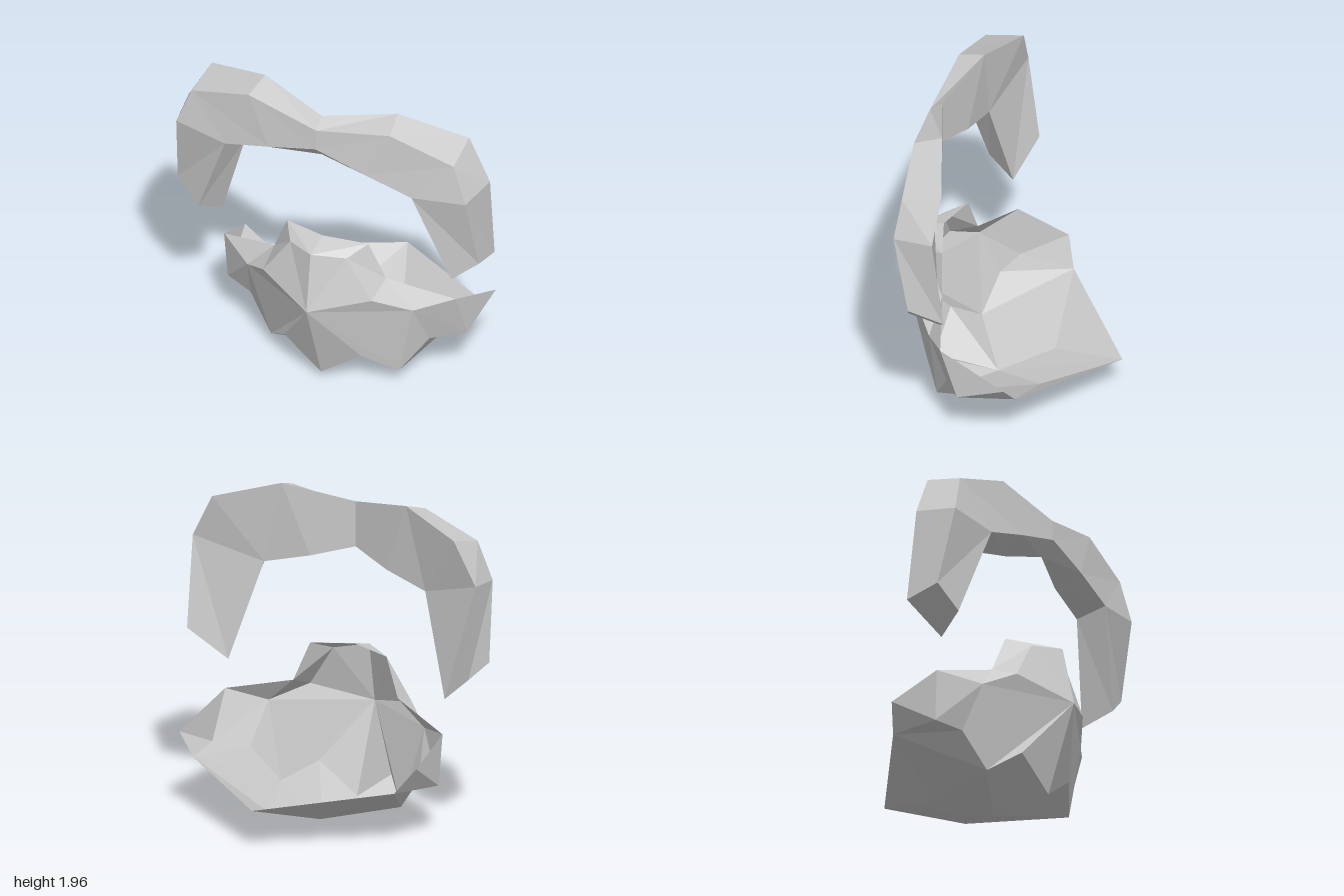
import * as THREE from 'three';

const material = new THREE.MeshStandardMaterial({ color: 0xcccccc, flatShading: true, side: THREE.DoubleSide });

// Faceted mesh from a list of triangles, each made of three [x, y, z] corners
function facetMesh(name, triangles) {
  const geometry = new THREE.BufferGeometry();
  geometry.setAttribute('position', new THREE.Float32BufferAttribute(triangles.flat(2), 3));
  geometry.computeVertexNormals();
  const mesh = new THREE.Mesh(geometry, material);
  mesh.name = name;
  return mesh;
}

const mirrorX = ([x, y, z]) => [-x, y, z];
const flip = ([a, b, c]) => [a, c, b];

// Curved band: sections of outer front, outer back, inner back, inner front
function createBand() {
  const innerCorner = [[0.57, 1.445, 0.33], [0.62, 1.51, 0.5]];
  const sections = [
    [[0, 1.82, 0.525], [0, 1.88, 0.45], [0, 1.6, 0.45], [0, 1.69, 0.535]],
    [[0.47, 1.905, 0.485], [0.44, 1.955, 0.32], [0.27, 1.52, 0.37], [0.32, 1.6, 0.525]],
    [[0.87, 1.78, 0.44], [0.855, 1.835, 0.2], ...innerCorner],
    [[0.96, 1.545, 0.465], [1, 1.57, 0.215], ...innerCorner],
    [[1, 1.065, 0.365], [0.995, 1.01, 0.145], [0.765, 0.83, 0.24], [0.84, 0.93, 0.41]],
  ];
  const half = [];
  for (let i = 0; i < sections.length - 1; i++) {
    for (let j = 0; j < 4; j++) {
      const k = (j + 1) % 4;
      const [a, b, c, d] = [sections[i][j], sections[i + 1][j], sections[i + 1][k], sections[i][k]];
      if (a !== b) half.push([a, b, c]);
      if (c !== d) half.push([a, c, d]);
    }
  }
  // Closed end of the arm
  const [of, ob, ib, inf] = sections[sections.length - 1];
  half.push([of, ib, ob], [of, inf, ib]);
  return facetMesh('archedBand', [...half, ...half.map((t) => flip(t.map(mirrorX)))]);
}

// Open shell: shared centre line and a slightly different outline on each side
function createShell() {
  const centre = {
    topBack: [0, 1, 0.44], topFront: [0, 0.96, 0.6], nose: [0.01, 0.59, 0.675],
    chin: [0.015, 0.04, 0.49], keel: [0.01, 0, 0.1], tail: [0.01, 0.24, -0.67],
  };
  const left = {
    rimFront: [0.19, 0.93, 0.5], rimBack: [0.27, 0.98, 0.37],
    neckFront: [0.36, 0.68, 0.51], neckBack: [0.37, 0.74, 0.34],
    shoulder: [0.56, 0.58, 0.365], wingTop: [0.78, 0.65, 0.23],
    wingTip: [0.84, 0.475, -0.18], wingLow: [0.8, 0.345, 0.12],
    cheek: [0.61, 0.315, 0.24], jaw: [0.46, 0.1, 0.345],
    notch: [0.27, 0.225, 0.47], backCorner: [0.72, 0.345, -0.215], floor: [0.2, 0.1, -0.22],
  };
  const right = {
    rimFront: [-0.185, 0.935, 0.5], rimBack: [-0.27, 0.98, 0.37],
    neckFront: [-0.36, 0.68, 0.51], neckBack: [-0.37, 0.745, 0.34],
    shoulder: [-0.53, 0.58, 0.38], wingTop: [-0.77, 0.62, 0.21],
    wingTip: [-0.785, 0.485, -0.1], wingLow: [-0.755, 0.305, 0.19],
    cheek: [-0.57, 0.29, 0.26], jaw: [-0.4, 0.08, 0.325],
    notch: [-0.24, 0.22, 0.47], backCorner: [-0.67, 0.33, -0.165], floor: [-0.17, 0.1, -0.2],
  };
  const faces = [
    // Raised neck
    'nose rimFront topFront', 'nose neckFront rimFront',
    'topFront rimFront rimBack', 'topFront rimBack topBack',
    'rimFront neckFront neckBack', 'rimFront neckBack rimBack',
    // Shoulders and front
    'neckFront shoulder neckBack', 'shoulder wingTop neckBack', 'nose shoulder neckFront',
    'nose jaw shoulder', 'nose notch jaw', 'nose chin notch',
    // Sides and wings
    'shoulder jaw cheek', 'shoulder cheek wingLow', 'shoulder wingLow wingTop',
    'wingTop wingLow wingTip', 'wingLow backCorner wingTip',
    'cheek backCorner wingLow', 'jaw backCorner cheek',
    // Underside and tail
    'jaw floor backCorner', 'floor tail backCorner', 'jaw keel floor',
    'floor keel tail', 'notch chin keel', 'notch keel jaw',
  ].map((f) => f.split(' '));
  const build = (side) => faces.map((f) => f.map((n) => centre[n] || side[n]));
  return facetMesh('lowerShell', [...build(left), ...build(right).map(flip)]);
}

export function createModel() {
  const model = new THREE.Group();
  model.name = 'model';
  model.add(createBand(), createShell());
  return model;
}
